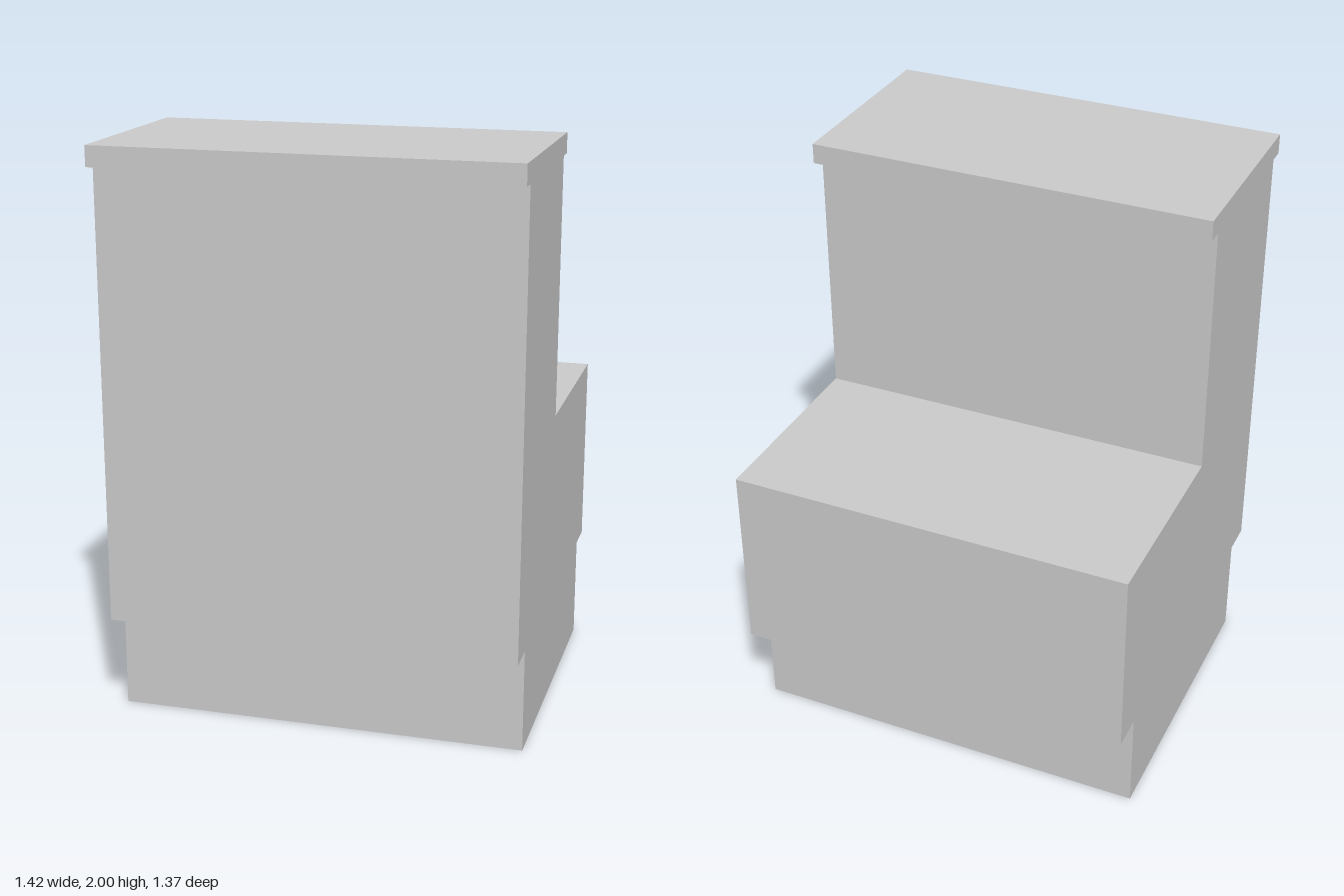
import * as THREE from 'three';

const WIDTH = 1.42;

// Side profile as [z, y]: recessed plinth, low rear counter, tall front with overhanging top
const PROFILE = [
  [-0.56, 0], [0.505, 0], [0.505, 0.36], [0.625, 0.36],
  [0.625, 1.93], [0.683, 1.93], [0.683, 2], [-0.03, 2],
  [-0.03, 1.93], [0.03, 1.93], [0.03, 1.037], [-0.683, 1.037],
  [-0.683, 0.36], [-0.56, 0.36],
];

export function createModel() {
  const group = new THREE.Group();
  group.name = 'steppedCounter';

  // One solid: the profile swept across the full width
  const shape = new THREE.Shape(PROFILE.map(([z, y]) => new THREE.Vector2(z, y)));
  const geometry = new THREE.ExtrudeGeometry(shape, { depth: WIDTH, bevelEnabled: false });
  geometry.rotateY(-Math.PI / 2); // profile z to model z, sweep along x
  geometry.translate(WIDTH / 2, 0, 0);

  const counter = new THREE.Mesh(geometry, new THREE.MeshStandardMaterial({ color: 0xcccccc }));
  counter.name = 'counterBody';
  group.add(counter);
  return group;
}
